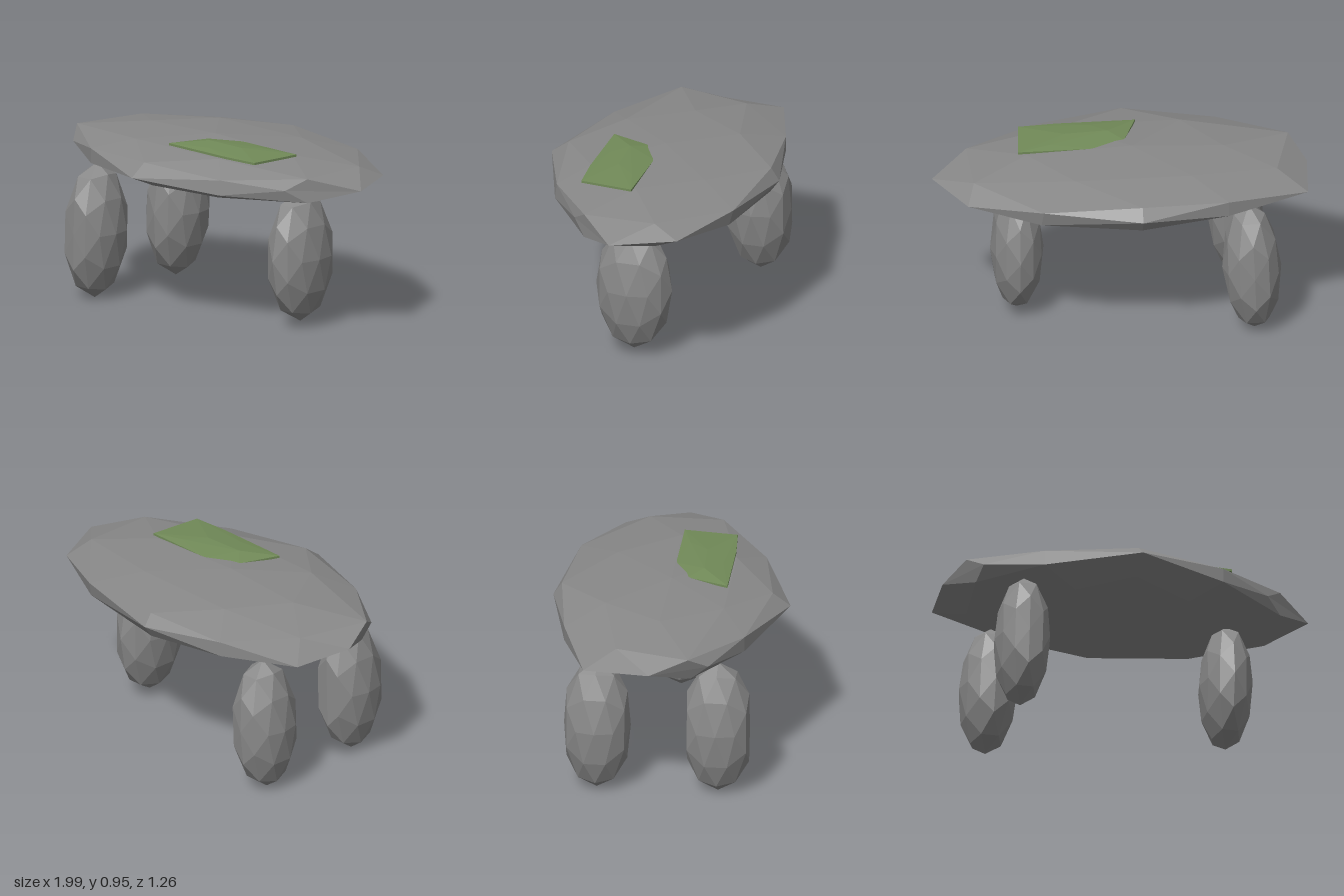
import * as THREE from 'three';
import { ConvexGeometry } from 'three/addons/geometries/ConvexGeometry.js';

const stone = new THREE.MeshStandardMaterial({ name: 'grey stone', color: 0x888888, flatShading: true });
const mossGreen = new THREE.MeshStandardMaterial({ name: 'moss green', color: 0x718a58, flatShading: true });

// Faceted boulder: a subdivided icosahedron whose vertices are moved by a rule
function boulder(name, rule) {
  const geo = new THREE.IcosahedronGeometry(1, 1);
  const pos = geo.attributes.position;
  const v = new THREE.Vector3();
  for (let i = 0; i < pos.count; i++) {
    rule(v.fromBufferAttribute(pos, i));
    pos.setXYZ(i, v.x, v.y, v.z);
  }
  geo.computeVertexNormals();
  const mesh = new THREE.Mesh(geo, stone);
  mesh.name = name;
  return mesh;
}

// Chipped corners of the capstone: direction on the unit ball -> x, z
const chips = [
  { from: [-0.85, 0, -0.526], x: -0.97, z: -0.37 },
  { from: [-0.85, 0, 0.526], x: -0.85, z: 0.28 },
  { from: [-0.809, 0.5, 0.309], x: -0.92, z: 0.18 },
  { from: [-0.809, -0.5, 0.309], x: -0.87, z: 0.19 },
  { from: [-0.5, 0.309, 0.809], x: -0.56, z: 0.44 },
  { from: [-0.5, -0.309, 0.809], x: -0.56, z: 0.44 },
  { from: [0.5, 0.309, 0.809], x: 0.41, z: 0.45 },
  { from: [0.5, -0.309, 0.809], x: 0.41, z: 0.46 },
  { from: [0.85, 0, 0.526], x: 0.70, z: 0.26 },
  { from: [0.5, 0.309, -0.809], x: 0.45, z: -0.54 },
  { from: [0, 0.526, -0.85], x: -0.07, z: -0.585 },
  { from: [0, -0.526, -0.85], x: -0.07, z: -0.58 },
  { from: [0, -0.526, 0.85], x: -0.07, z: 0.47 },
];

function shapeSlab(v) {
  const chip = chips.find(c => v.distanceTo(new THREE.Vector3(...c.from)) < 0.05);
  const x = -0.07 + v.x * (v.x < 0 ? 0.93 : 1.06);
  const z = v.z * 0.63 - 0.02 * Math.abs(v.x);
  v.set(chip ? chip.x : x, 0.815 + v.y * 0.13, chip ? chip.z : z);
}

// Upright stones: centre, half sizes, z limits of the flattened sides, lean in x
const uprights = [
  { name: 'leftUpright', c: [0.54, 0.385, -0.02], s: [0.142, 0.355, 0.21], lo: -0.21, hi: 0.21, lean: 0 },
  { name: 'frontRightUpright', c: [-0.65, 0.373, 0.31], s: [0.15, 0.37, 0.195], lo: -0.165, hi: 0.17, lean: 0.01 },
  { name: 'backRightUpright', c: [-0.675, 0.37, -0.33], s: [0.157, 0.365, 0.19], lo: -0.175, hi: 0.18, lean: 0.015 },
];

export function createModel() {
  const model = new THREE.Group();
  model.name = 'stoneTable';
  model.add(boulder('capstone', shapeSlab));

  for (const { name, c, s, lo, hi, lean } of uprights) {
    model.add(boulder(name, v => {
      const y = v.y;
      v.set(
        c[0] + v.x * s[0] + y * lean,
        c[1] + y * s[1],
        c[2] + THREE.MathUtils.clamp(v.z * s[2], lo, hi),
      );
    }));
  }

  // Thin moss cushion: rim outline on the slab with a low crown
  const rim = [[-0.12, 0.30], [-0.04, 0.08], [0.13, 0], [0.53, 0], [0.50, 0.285], [0.30, 0.30]];
  const points = rim.flatMap(([x, z]) => [
    new THREE.Vector3(x, 0.925, z),
    new THREE.Vector3(x, 0.937, z),
  ]);
  for (const [x, y, z] of [[0.04, 0.957, 0.16], [0.27, 0.954, 0.15], [0.13, 0.947, 0.25], [0.36, 0.946, 0.05]]) {
    points.push(new THREE.Vector3(x, y, z));
  }
  const moss = new THREE.Mesh(new ConvexGeometry(points), mossGreen);
  moss.name = 'mossPatch';
  model.add(moss);
  return model;
}
